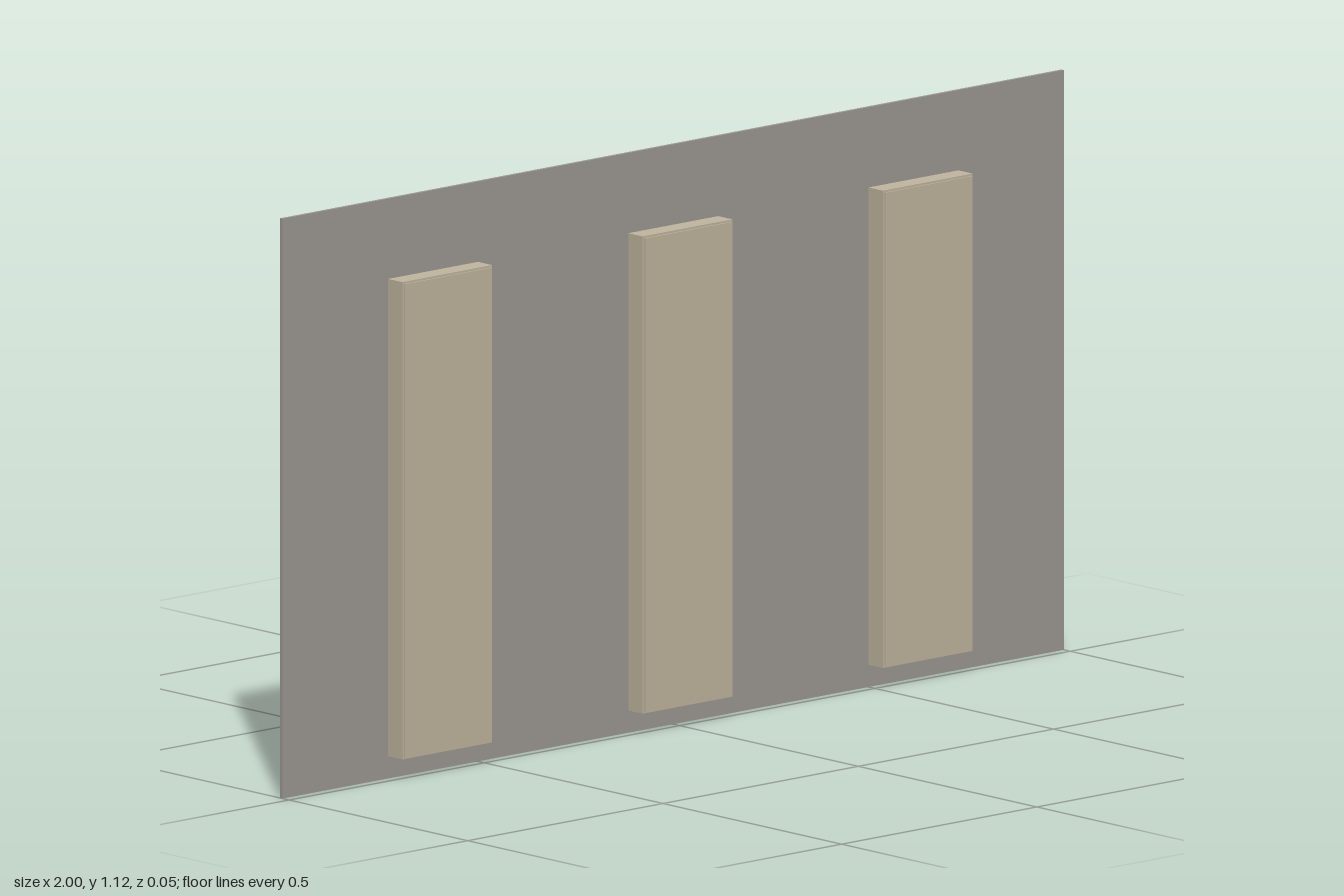
import * as THREE from 'three';

const stone = new THREE.MeshStandardMaterial({ color: 0x9e9a94 });
stone.name = 'grey wall';
const sand = new THREE.MeshStandardMaterial({ color: 0xc1b69f });
sand.name = 'sand pilaster';

// Box given by its size, centre x, bottom y and back z
function slab(name, material, [w, h, d], x, bottom, back) {
  const mesh = new THREE.Mesh(new THREE.BoxGeometry(w, h, d), material);
  mesh.name = name;
  mesh.position.set(x, bottom + h / 2, back + d / 2);
  return mesh;
}

export function createModel() {
  const model = new THREE.Group();
  model.name = 'wallPanel';

  // Thin backing wall
  model.add(slab('backWall', stone, [2, 1.12, 0.007], 0, 0, -0.025));

  // Three upright pilasters, each with a slightly inset front face
  for (const x of [-0.615, 0, 0.615]) {
    const pilaster = new THREE.Group();
    pilaster.name = 'pilaster';
    pilaster.add(slab('pilasterBody', sand, [0.23, 0.922, 0.041], x, 0.043, -0.019));
    pilaster.add(slab('pilasterFace', sand, [0.222, 0.914, 0.003], x, 0.047, 0.022));
    model.add(pilaster);
  }
  return model;
}
